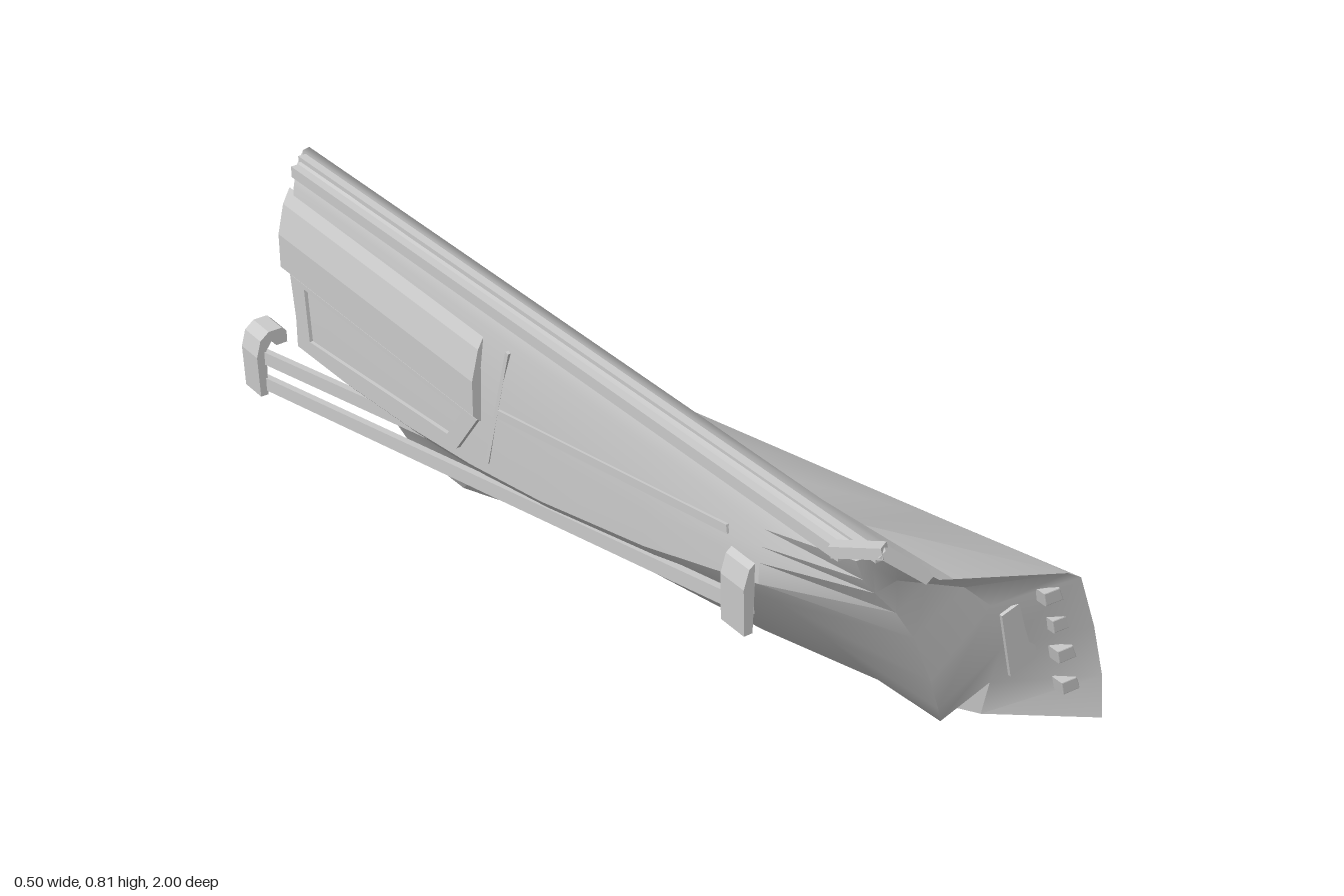
import * as THREE from 'three';
import { toCreasedNormals } from 'three/addons/utils/BufferGeometryUtils.js';

const mat = new THREE.MeshStandardMaterial({ color: 0xcccccc, side: THREE.DoubleSide });
const lerp = THREE.MathUtils.lerp;

// Height of the lower door edge along z
function bottomY(z) {
  if (z > -0.28) return 0.1 + 0.18 * (z + 0.28);
  if (z > -0.5) return 0.015 + (0.085 * (z + 0.5)) / 0.22;
  return Math.max(0, 0.015 + 0.034 * (z + 0.5));
}

// Cross-section columns, from the window sill to the lower edge: [x, y, z]
const outerFront = [[-0.2, 0.797, 0.94], [-0.175, 0.787, 0.95], [-0.11, 0.738, 0.98], [-0.08, 0.727, 0.98],
  [0.14, 0.66, 1], [0.17, 0.64, 1], [0.21, 0.53, 1], [0.24, 0.42, 1], [0.25, 0.33, 1]];
const outerRear = [[-0.2, 0.758, -0.72], [-0.17, 0.75, -0.77], [-0.1, 0.695, -0.87], [0.025, 0.355, -0.965],
  [0.13, 0.275, -0.99], [0.155, 0.24, -1], [0.172, 0.15, -1], [0.18, 0.07, -1], [0.178, 0, -0.94]];
const hingeRim = [[-0.21, 0.785, 0.92], [-0.19, 0.76, 0.92], [-0.14, 0.715, 0.92], [-0.08, 0.685, 0.92],
  [0.0, 0.645, 0.92], [0.05, 0.595, 0.93], [0.08, 0.5, 0.93], [0.1, 0.4, 0.89], [0.105, 0.322, 0.87]];
const hingeInner = [[-0.215, 0.775, 0.91], [-0.19, 0.725, 0.9], [-0.165, 0.69, 0.9], [-0.12, 0.635, 0.9],
  [-0.08, 0.57, 0.9], [-0.03, 0.46, 0.89], [0.01, 0.375, 0.87], [0.045, 0.315, 0.84], [0.09, 0.307, 0.81]];
// Inner trim rises and narrows towards the hinge: [x, y]
const trimFront = [[-0.215, 0.77], [-0.222, 0.72], [-0.228, 0.69], [-0.23, 0.66], [-0.23, 0.62],
  [-0.19, 0.57], [-0.08, 0.45], [0.03, 0.32], [0.09, 0.28]];
const trimRear = [[-0.215, 0.745], [-0.222, 0.71], [-0.232, 0.62], [-0.235, 0.5], [-0.235, 0.37],
  [-0.208, 0.34], [-0.07, 0.22], [0.02, 0.035], [0.07, 0.015]];
const latchInner = [[-0.21, 0.745, -0.73], [-0.165, 0.71, -0.755], [-0.12, 0.6, -0.765], [-0.08, 0.45, -0.78],
  [-0.05, 0.34, -0.81], [-0.01, 0.26, -0.85], [0.02, 0.17, -0.88], [0.035, 0.08, -0.9], [0.07, 0.015, -0.88]];
const latchRim = [[-0.205, 0.75, -0.73], [-0.17, 0.735, -0.775], [-0.105, 0.67, -0.865], [0.01, 0.345, -0.955],
  [0.03, 0.255, -0.98], [0.05, 0.21, -0.99], [0.06, 0.15, -0.99], [0.065, 0.07, -0.99], [0.075, 0.012, -0.93]];

const stations = [0, 0.15, 0.3, 0.45, 0.56, 0.66, 0.773, 0.86, 1];

function outerRing(s) {
  return outerFront.map((a, j) => {
    const p = [0, 1, 2].map(i => lerp(a[i], outerRear[j][i], s));
    if (j === 8) p[1] = bottomY(p[2]);
    if (j === 7) p[1] = Math.max(p[1], bottomY(p[2]) + 0.02);
    return p;
  });
}

function trimRing(s) {
  const z = 1 - 2 * s;
  const t = ((z + 0.72) / 1.42) ** 2;
  return trimRear.map((b, j) => {
    const x = lerp(b[0], trimFront[j][0], t), y = lerp(b[1], trimFront[j][1], t);
    if (j === 8) return [x, bottomY(z) + 0.008, z];
    return [x, j > 5 ? Math.max(y, bottomY(z) + 0.025) : y, z];
  });
}

// Closed door body: rings run over the skin to the rear, and back along the trim
function doorGeometry() {
  const last = stations.length - 1;
  const inner = stations.map((s, k) => (k === 0 ? hingeInner : k === last ? latchInner : trimRing(s)));
  const rings = [hingeRim, ...stations.map(outerRing), latchRim, ...inner.reverse()];
  const R = rings.length, C = hingeRim.length, index = [];
  for (let r = 0; r < R; r++) {
    const n = (r + 1) % R;
    for (let j = 0; j < C - 1; j++) {
      const a = r * C + j, b = n * C + j;
      index.push(a, a + 1, b, a + 1, b + 1, b);
    }
  }
  // underside and sill close the two open edges
  for (let k = 0; k <= last + 1; k++) {
    const [o, i, o2, i2] = [k, (R - k) % R, k + 1, R - k - 1].map(r => r * C);
    const e = C - 1;
    index.push(o + e, i + e, o2 + e, i + e, i2 + e, o2 + e);
    index.push(o, o2, i, i, o2, i2);
  }
  const g = new THREE.BufferGeometry();
  g.setAttribute('position', new THREE.Float32BufferAttribute(rings.flat(2), 3));
  g.setIndex(index);
  return toCreasedNormals(g, 0.6);
}

function add(parent, name, geometry, x = 0, y = 0, z = 0) {
  const m = new THREE.Mesh(geometry, mat);
  m.name = name;
  m.position.set(x, y, z);
  parent.add(m);
  return m;
}

// Straight bar between two points
function bar(parent, name, a, b, w, h) {
  const A = new THREE.Vector3(...a), B = new THREE.Vector3(...b);
  const m = add(parent, name, new THREE.BoxGeometry(w, h, A.distanceTo(B)));
  m.position.copy(A).add(B).multiplyScalar(0.5);
  m.lookAt(B);
  return m;
}

const toPoints = list => list.map(p => new THREE.Vector2(...p));

// Flat outline extruded along z, centred on the origin in z
function plate(points, depth, bevel = 0) {
  const g = new THREE.ExtrudeGeometry(new THREE.Shape(toPoints(points)), { depth, bevelEnabled: bevel > 0,
    bevelSize: bevel, bevelThickness: bevel, bevelSegments: 2 });
  return g.translate(0, 0, -depth / 2);
}

export function createModel() {
  const door = new THREE.Group();
  door.name = 'doorPanel';
  add(door, 'doorBody', doorGeometry());

  // window sill seals and raised front corner lip
  bar(door, 'outerSill', [-0.195, 0.79, 0.94], [-0.195, 0.757, -0.73], 0.016, 0.014);
  bar(door, 'innerSill', [-0.217, 0.772, 0.88], [-0.217, 0.742, -0.72], 0.016, 0.022);
  bar(door, 'cornerLip', [-0.228, 0.78, 0.87], [-0.19, 0.803, 0.945], 0.022, 0.02);
  bar(door, 'cornerLip', [-0.195, 0.803, 0.94], [-0.125, 0.744, 0.97], 0.022, 0.016);

  // armrest, with a pull pocket frame below
  const arm = plate([[-0.22, 0.7], [-0.236, 0.67], [-0.25, 0.61], [-0.25, 0.54], [-0.236, 0.525], [-0.22, 0.53]], 0.66);
  add(door, 'armrest', arm, 0, 0, -0.41);
  const pocket = new THREE.Shape(toPoints([[0.7, 0.39], [0.15, 0.435], [0.08, 0.53], [0.72, 0.53]]));
  pocket.holes.push(new THREE.Path(toPoints([[0.66, 0.41], [0.67, 0.52], [0.13, 0.52], [0.18, 0.45]])));
  const frame = new THREE.ExtrudeGeometry(pocket, { depth: 0.008, bevelEnabled: false });
  add(door, 'pocketFrame', frame, -0.242).rotation.y = Math.PI / 2;
  bar(door, 'trimSeam', [-0.226, 0.7, 0.0], [-0.233, 0.45, -0.06], 0.008, 0.008);
  bar(door, 'trimRail', [-0.228, 0.68, 0.62], [-0.233, 0.57, -0.02], 0.01, 0.016);

  // small bump stops and a cover plate on the hinge face
  const stop = plate([[-0.02, 0.013], [0.01, 0.011], [0.02, -0.012], [-0.014, -0.01]], 0.02, 0.002);
  [[0.13, 0.61], [0.157, 0.545], [0.178, 0.475], [0.197, 0.403]].forEach(([x, y], i) => {
    add(door, 'bumpStop', stop, x, y, 0.973 - 0.003 * i);
  });
  const cover = plate([[0.055, 0.585], [0.11, 0.6], [0.14, 0.47], [0.085, 0.455]], 0.006);
  add(door, 'hingeCover', cover, 0, 0, 0.948);

  // pair of slanted rods held by hooked brackets
  const rods = new THREE.Group();
  rods.name = 'rodAssembly';
  door.add(rods);
  for (const dy of [0, 0.06]) {
    bar(rods, 'rod', [-0.211, 0.187 + dy, -0.92], [-0.213, 0.545 + dy, 0.66], 0.014, 0.028);
  }
  const hook = [[-0.232, 0], [-0.215, 0], [-0.213, 0.1], [-0.2, 0.118], [-0.19, 0.105], [-0.165, 0.105],
    [-0.165, 0.13], [-0.175, 0.14], [-0.205, 0.14], [-0.225, 0.125], [-0.235, 0.09]];
  add(rods, 'rearBracket', plate(hook, 0.06), 0, 0.17, -0.92);
  add(rods, 'frontBracket', plate(hook, 0.06), -0.016, 0.52, 0.66);
  return door;
}
